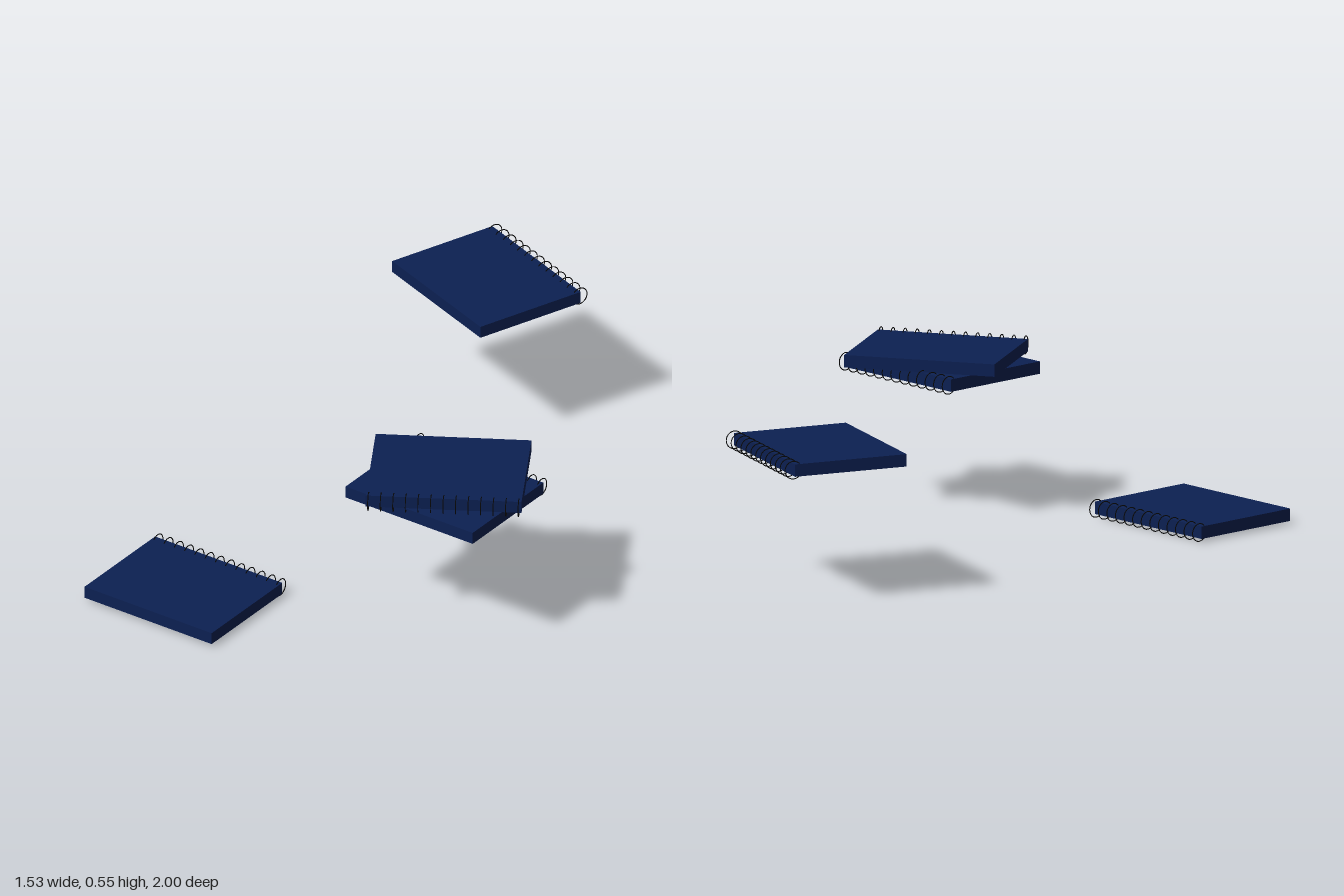
import * as THREE from 'three';

const WIDTH = 0.518, DEPTH = 0.402, THICK = 0.042;
const RINGS = 13, RING_SPAN = 0.5, RING_RADIUS = 0.03, WIRE = 0.0017;

const coverMaterial = new THREE.MeshStandardMaterial({ color: 0x0c2052 });
const wireMaterial = new THREE.MeshStandardMaterial({ color: 0x060606 });

// One spiral-bound notebook, binding along its local -z edge
function createNotebook(name, x, y, z, turn) {
  const book = new THREE.Group();
  book.name = name;

  const block = new THREE.Mesh(new THREE.BoxGeometry(WIDTH, THICK, DEPTH), coverMaterial);
  block.name = 'coverAndPages';
  book.add(block);

  // Row of wire rings wrapped round the bound edge
  const binding = new THREE.Group();
  binding.name = 'spiralBinding';
  const ringGeometry = new THREE.TorusGeometry(RING_RADIUS, WIRE, 6, 28).rotateY(Math.PI / 2);
  for (let i = 0; i < RINGS; i++) {
    const ring = new THREE.Mesh(ringGeometry, wireMaterial);
    ring.name = 'bindingRing';
    ring.position.set((i / (RINGS - 1) - 0.5) * RING_SPAN, 0, -DEPTH / 2 - 0.002);
    binding.add(ring);
  }
  book.add(binding);

  book.position.set(x, y, z);
  book.rotation.y = turn;
  return book;
}

export function createModel() {
  const model = new THREE.Group();
  model.name = 'notebooks';
  model.add(
    createNotebook('lowNotebook', -0.443, 0.032, 0.692, -0.515),
    createNotebook('stackBottomNotebook', 0.427, 0.473, 0.692, -0.515),
    createNotebook('stackTopNotebook', 0.437, 0.517, 0.657, Math.PI + 0.024),
    createNotebook('backNotebook', 0.422, 0.473, -0.666, -0.865)
  );
  return model;
}
